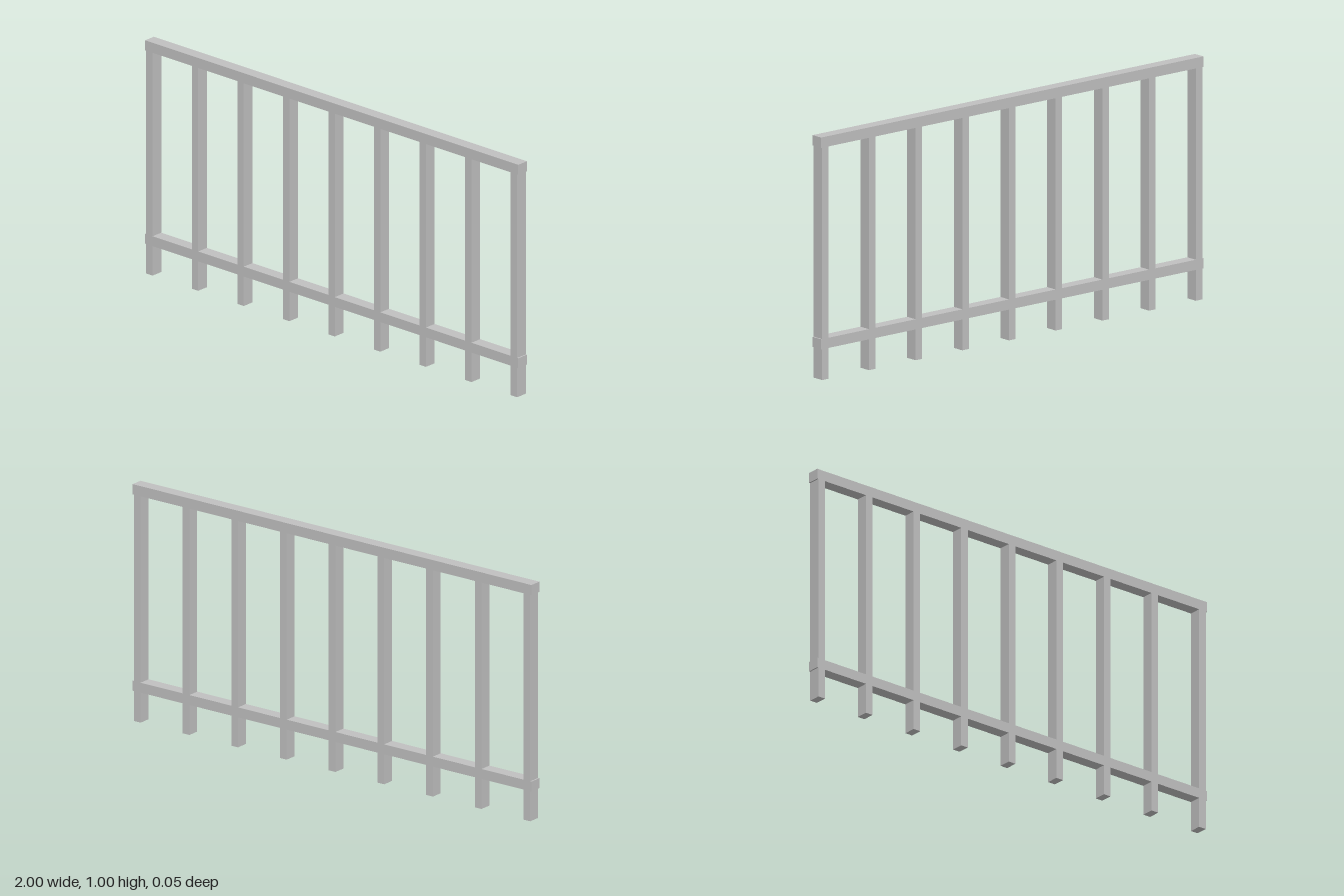
import * as THREE from 'three';

const DEPTH = 0.052;
const POST_WIDTH = 0.034;
const POST_COUNT = 9;
const POST_SPAN = 0.977; // centre of the outermost posts
const LOWER_RAIL = [0.127, 0.169];
const TOP_RAIL = [0.957, 1];

export function createModel() {
  const model = new THREE.Group();
  model.name = 'railing';

  const greyMetal = new THREE.MeshStandardMaterial({ color: 0xc0c0c0 });
  greyMetal.name = 'grey metal';

  // Upright bar or rail given by its width and its bottom and top heights
  function bar(name, parent, width, [bottom, top], x = 0) {
    const mesh = new THREE.Mesh(new THREE.BoxGeometry(width, top - bottom, DEPTH), greyMetal);
    mesh.name = name;
    mesh.position.set(x, (bottom + top) / 2, 0);
    parent.add(mesh);
  }

  // Full-length rails
  bar('topRail', model, 2, TOP_RAIL);
  bar('lowerRail', model, 2, LOWER_RAIL);

  // Posts, split at the lower rail so that flush faces do not overlap
  for (let i = 0; i < POST_COUNT; i++) {
    const post = new THREE.Group();
    post.name = `post${i + 1}`;
    post.position.x = -POST_SPAN + (2 * POST_SPAN * i) / (POST_COUNT - 1);
    bar('postFoot', post, POST_WIDTH, [0, LOWER_RAIL[0]]);
    bar('postShaft', post, POST_WIDTH, [LOWER_RAIL[1], TOP_RAIL[0]]);
    model.add(post);
  }

  return model;
}
